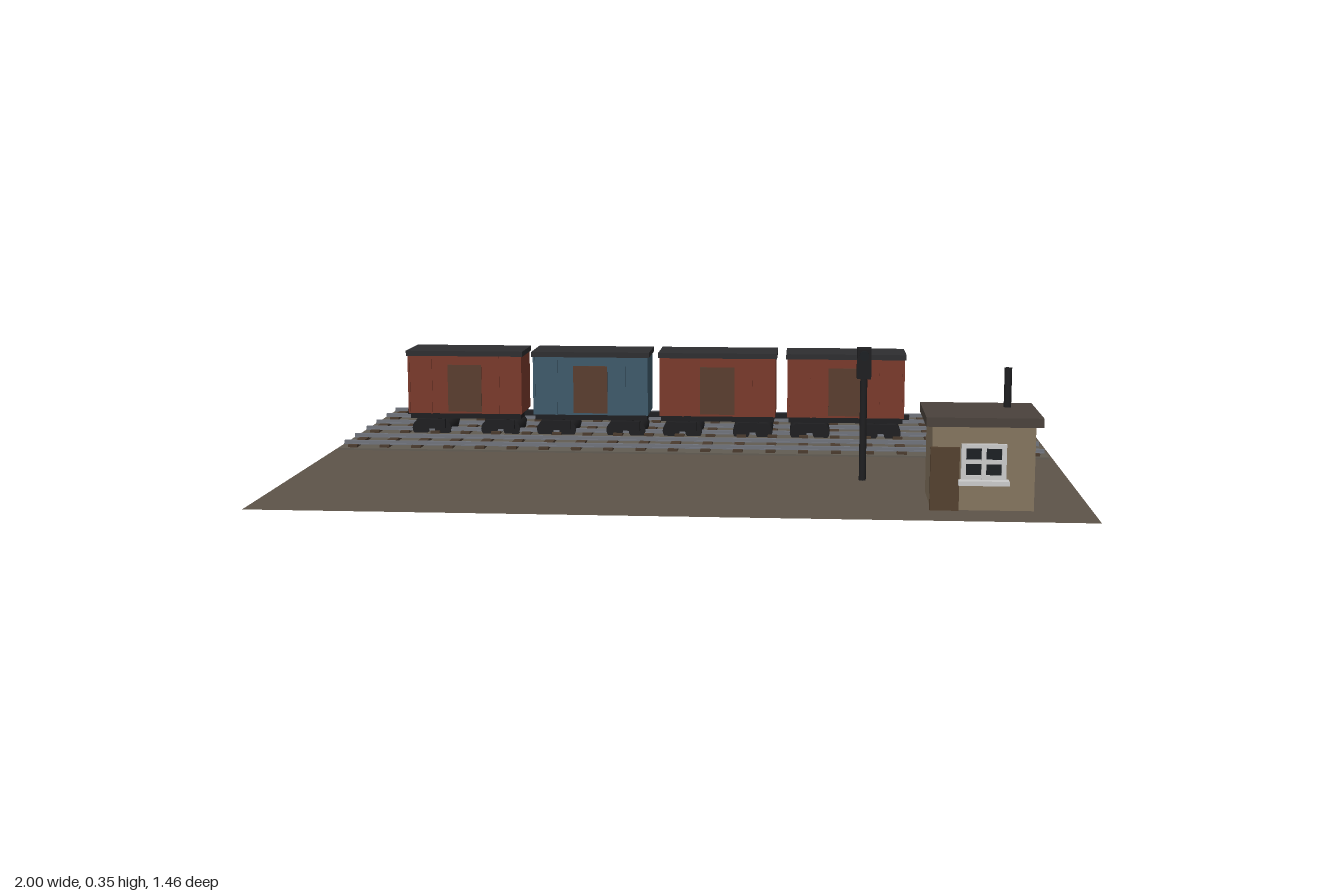
import * as THREE from 'three';

const mat = (color) => new THREE.MeshStandardMaterial({ color });
const M = {
  ground: mat(0x5e5449), ballast: mat(0x625c53), sleeper: mat(0x4a3b2e), rail: mat(0x70747c),
  red: mat(0x7a3a2c), blue: mat(0x3f5a6b), door: mat(0x5a3d2f), roof: mat(0x2e2e30),
  black: mat(0x1f1f21), wall: mat(0x84755f), shedRoof: mat(0x4a423c), shedDoor: mat(0x54412f),
  white: mat(0xd8d8d4), glass: mat(0x1c2024),
};
M.ground.side = THREE.DoubleSide;

function add(parent, name, geo, material, x, y, z) {
  const m = new THREE.Mesh(geo, material);
  m.name = name;
  m.position.set(x, y, z);
  parent.add(m);
  return m;
}
// box given by its minimum and maximum height
function box(parent, name, material, w, d, y0, y1, x = 0, z = 0) {
  return add(parent, name, new THREE.BoxGeometry(w, y1 - y0, d), material, x, (y0 + y1) / 2, z);
}
function group(parent, name, x = 0, z = 0) {
  const g = new THREE.Group();
  g.name = name;
  g.position.set(x, 0, z);
  parent.add(g);
  return g;
}

function track(parent, z) {
  const g = group(parent, 'track', 0, z);
  box(g, 'ballast', M.ballast, 1.98, 0.185, 0.005, 0.01);
  for (let i = 0; i < 22; i++) box(g, 'sleeper', M.sleeper, 0.027, 0.156, 0.008, 0.017, -0.952 + i * 0.0907);
  for (const s of [-1, 1]) {
    box(g, 'railFoot', M.rail, 1.96, 0.016, 0.016, 0.019, 0, s * 0.056);
    box(g, 'railHead', M.rail, 1.96, 0.009, 0.018, 0.027, 0, s * 0.056);
  }
}

function bogie(parent, x) {
  const g = group(parent, 'bogie', x);
  box(g, 'bolster', M.black, 0.035, 0.12, 0.03, 0.057);
  for (const s of [-1, 1]) {
    box(g, 'sideFrame', M.black, 0.085, 0.016, 0.026, 0.053, 0, s * 0.072);
    // axle with wheel drum
    const wheel = new THREE.CylinderGeometry(0.025, 0.025, 0.13, 16);
    wheel.rotateX(Math.PI / 2);
    add(g, 'wheelset', wheel, M.black, s * 0.033, 0.025, 0);
  }
}

function wagon(parent, x, paint) {
  const g = group(parent, 'wagon', x, -0.375);
  box(g, 'body', paint, 0.338, 0.144, 0.07, 0.242);
  box(g, 'roof', M.roof, 0.346, 0.154, 0.241, 0.256);
  box(g, 'chassis', M.black, 0.33, 0.13, 0.054, 0.07);
  for (const s of [-1, 1]) {
    box(g, 'door', M.door, 0.1, 0.005, 0.076, 0.215, 0, s * 0.073);
    for (const rx of [-0.166, -0.1, 0.1, 0.166])
      box(g, 'rib', paint, 0.006, 0.004, 0.07, 0.241, rx, s * 0.073);
    box(g, 'coupler', M.black, 0.026, 0.016, 0.056, 0.07, s * 0.175);
    bogie(g, s * 0.103);
  }
}

function signal(parent) {
  const g = group(parent, 'signal', 0.471, 0.273);
  add(g, 'post', new THREE.CylinderGeometry(0.009, 0.009, 0.28, 12), M.black, 0, 0.14, 0);
  box(g, 'head', M.black, 0.036, 0.036, 0.268, 0.346);
  const lens = new THREE.CylinderGeometry(0.012, 0.012, 0.012, 16).rotateX(Math.PI / 2);
  add(g, 'lens', lens, M.glass, 0, 0.328, 0.022);
  box(g, 'hood', M.black, 0.03, 0.016, 0.342, 0.346, 0, 0.025);
}

function shed(parent) {
  const g = group(parent, 'shed', 0.742, 0.51);
  box(g, 'walls', M.wall, 0.24, 0.205, 0, 0.206);
  box(g, 'roof', M.shedRoof, 0.272, 0.237, 0.205, 0.227);
  box(g, 'door', M.shedDoor, 0.068, 0.012, 0.002, 0.155, -0.09, 0.105);
  add(g, 'chimney', new THREE.CylinderGeometry(0.009, 0.009, 0.11, 12), M.black, 0.07, 0.268, -0.053);
  // window with four panes and a sill
  const w = group(g, 'window', 0, 0.106);
  box(w, 'glass', M.glass, 0.096, 0.006, 0.085, 0.16);
  for (const s of [-1, 0, 1]) {
    box(w, 'upright', M.white, 0.011, 0.014, 0.08, 0.163, s * 0.047, 0.002);
    box(w, 'crossbar', M.white, 0.105, 0.013, 0.117 + s * 0.037, 0.127 + s * 0.037, 0, 0.002);
  }
  box(w, 'sill', M.white, 0.118, 0.03, 0.068, 0.079, 0, 0.01);
}

export function createModel() {
  const model = new THREE.Group();
  model.name = 'freightYard';
  add(model, 'ground', new THREE.PlaneGeometry(2, 1.46).rotateX(-Math.PI / 2), M.ground, 0, 0.004, 0);
  for (const z of [-0.61, -0.375, -0.135]) track(model, z);
  [M.red, M.blue, M.red, M.red].forEach((paint, i) => wagon(model, -0.679 + i * 0.3725, paint));
  signal(model);
  shed(model);
  return model;
}
